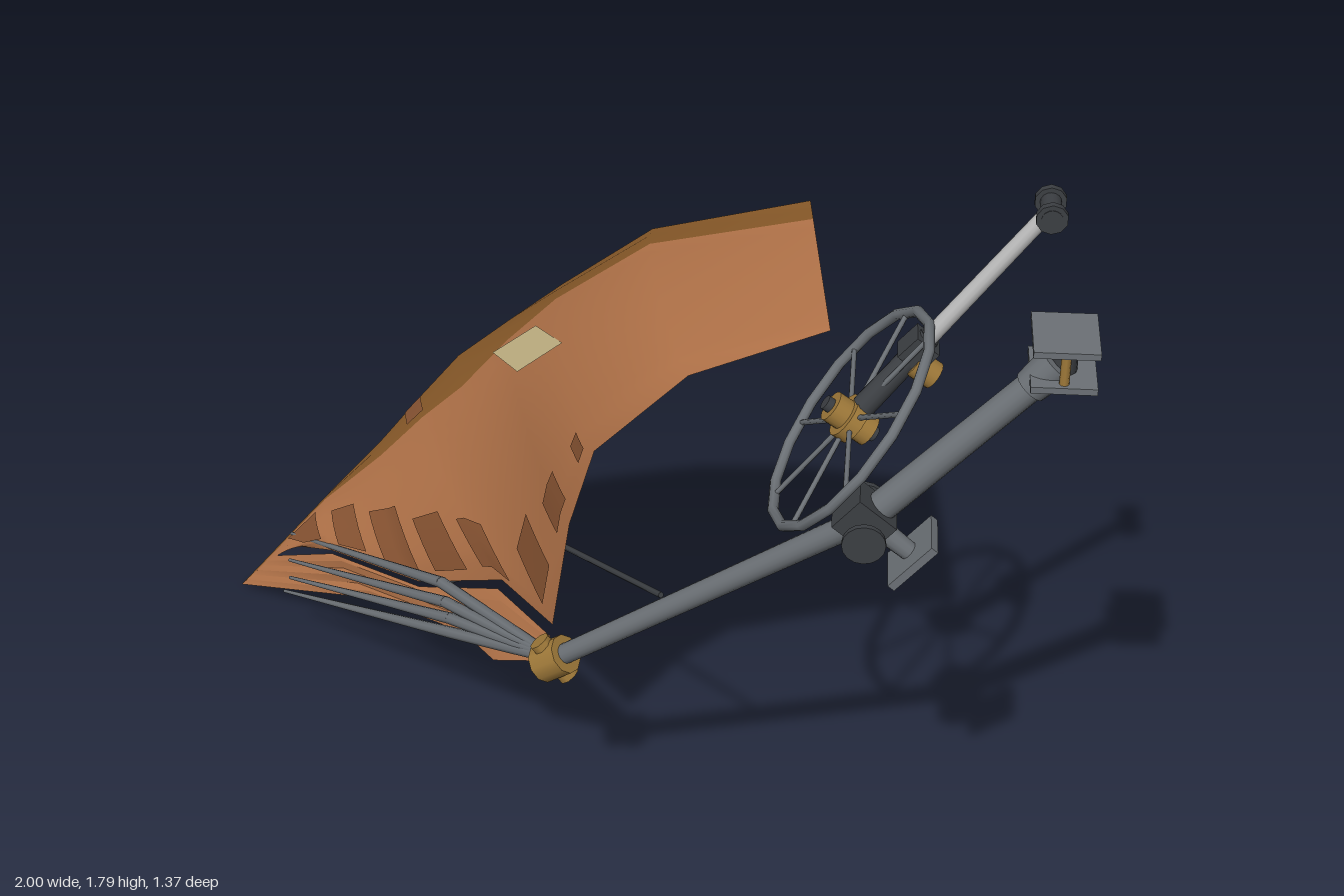
import * as THREE from 'three';

const V = (x, y, z) => new THREE.Vector3(x, y, z);
const mat = (name, color, side = THREE.FrontSide) => {
  const m = new THREE.MeshStandardMaterial({ color, side });
  m.name = name;
  return m;
};

export function createModel() {
  const group = new THREE.Group();
  const copper = mat('copper skin', 0xb5754a, THREE.DoubleSide);
  const bronze = mat('bronze edge', 0x8c5c2a, THREE.DoubleSide);
  const umber = mat('umber patch', 0x8a5533, THREE.DoubleSide);
  const tan = mat('tan panel', 0xc8b888, THREE.DoubleSide);
  const steel = mat('steel', 0x6c7176);
  const dark = mat('dark iron', 0x3c3f43);
  const silver = mat('silver', 0xb4b4b4);
  const brass = mat('brass', 0xa07a3a);

  const add = (name, geo, material, parent = group) => {
    const m = new THREE.Mesh(geo, material);
    m.name = name;
    parent.add(m);
    return m;
  };
  // Cylinder from a to b
  const rod = (name, a, b, r1, r2, material, sides = 12) => {
    const d = b.clone().sub(a);
    const m = add(name, new THREE.CylinderGeometry(r2, r1, d.length(), sides), material);
    m.position.copy(a).addScaledVector(d, 0.5);
    m.quaternion.setFromUnitVectors(V(0, 1, 0), d.normalize());
    return m;
  };
  // Short cylinder centred on c along axis
  const disc = (name, c, axis, r, len, material, sides = 16) =>
    rod(name, c.clone().addScaledVector(axis, -len / 2), c.clone().addScaledVector(axis, len / 2), r, r, material, sides);
  const box = (name, c, size, material, tilt = 0) => {
    const m = add(name, new THREE.BoxGeometry(...size), material);
    m.position.copy(c);
    m.rotation.z = tilt;
    return m;
  };
  // Sheet sampled from a function of (u, s)
  const sheet = (name, f, u0, u1, nu, s0, s1, ns, material) => {
    const pos = [], idx = [];
    for (let i = 0; i <= nu; i++) for (let j = 0; j <= ns; j++) {
      pos.push(...f(u0 + (u1 - u0) * i / nu, s0 + (s1 - s0) * j / ns).toArray());
      if (i < nu && j < ns) {
        const a = i * (ns + 1) + j, b = a + ns + 1;
        idx.push(a, a + 1, b, b, a + 1, b + 1);
      }
    }
    const g = new THREE.BufferGeometry();
    g.setAttribute('position', new THREE.Float32BufferAttribute(pos, 3));
    g.setIndex(idx);
    g.computeVertexNormals();
    return add(name, g, material);
  };
  const along = (pts, u) => {
    const i = Math.min(Math.floor(u), pts.length - 2);
    return pts[i].clone().lerp(pts[i + 1], u - i);
  };

  // Wing skin: outer and inner edges, arched between
  const outer = [V(.43, 1.605, .015), V(.085, 1.39, -.21), V(-.13, 1.13, -.39), V(-.26, .985, -.46),
    V(-.395, .835, -.525), V(-.5, .68, -.57), V(-.6, .53, -.605), V(-.75, .33, -.645), V(-1, 0, -.685)];
  const inner = [V(.48, 1.62, .55), V(.2, 1.475, .51), V(0, 1.19, .375), V(-.06, .945, .3),
    V(-.105, .62, .235), V(-.24, .585, .03), V(-.47, .375, -.23), V(-.72, .28, -.47), V(-.85, .19, -.62)];
  const arch = [0, .035, .055, .055, .05, .045, .035, .02, 0];
  const out = V(-.77, .63, .1).normalize();
  const skin = (u, s, lift = 0) => {
    const i = Math.min(Math.floor(u), 7);
    const h = THREE.MathUtils.lerp(arch[i], arch[i + 1], u - i);
    const bulge = Math.pow(Math.max(0, Math.sin(Math.PI * s)), 0.6);
    return along(outer, u).lerp(along(inner, u), s).addScaledVector(out, h * bulge + lift);
  };
  sheet('wingEdge', skin, 0, 8, 8, 0, .15, 2, bronze);
  sheet('wingSkin', skin, 0, 8, 8, .15, 1, 12, copper);

  // Patches on both faces of the skin
  const patches = [[3.55, 3.95, .78, .96], [2.8, 3.2, .86, .97], [2.1, 2.3, .9, .97], [4.6, 5.1, .72, .95],
    [5.3, 5.7, .66, .96], [5.9, 6.3, .55, .95], [6.5, 6.85, .45, .9], [7.1, 7.5, .3, .85], [4.9, 5.3, .04, .13]];
  for (const [u0, u1, s0, s1] of patches)
    for (const lift of [-.006, .006])
      sheet('patch', (u, s) => skin(u, s, lift), u0, u1, 4, s0, s1, 4, umber);

  // Loose tan panel piercing the skin
  const pa = [V(-.28, 1.03, -.24), V(-.2, 1.13, -.01)], pb = [V(-.18, 1.11, -.235), V(-.1, 1.21, -.01)];
  sheet('loosePanel', (u, s) => along(pa, u).lerp(along(pb, u), s), 0, 1, 1, 0, 1, 1, tan);

  // Pleated lower fan
  const foldTop = [V(-.11, .6, .25), V(-.25, .56, .03), V(-.47, .36, -.23), V(-.72, .27, -.47), V(-.9, .13, -.64)];
  const foldLow = [V(-.1, .56, .29), V(-.25, .445, .15), V(-.34, .39, -.02), V(-.6, .235, -.34), V(-1, 0, -.685)];
  const pleat = [0, .025, -.02, .025, -.02, .025, 0];
  const fanDir = V(.5, .5, .7).normalize();
  const fan = (u, s) => along(foldTop, u).lerp(along(foldLow, u), s)
    .addScaledVector(fanDir, pleat[Math.round(s * 6)] * Math.sin(Math.PI * u / 4));
  for (let k = 0; k < 6; k++) sheet('fanPleat', fan, 0, 4, 8, k / 6, (k + 1) / 6, 1, copper);

  // Finger rods from the wrist
  const wrist = V(-.096, .576, .3);
  const tips = [V(-.84, .17, -.44), V(-.83, .19, -.47), V(-.84, .2, -.53), V(-.85, .21, -.63)];
  tips.forEach((tip, k) => {
    const mid = wrist.clone().lerp(tip, .35).add(V(-.012 * k, .012 * k, -.02 * k));
    rod('fingerBase', wrist, mid, .013, .014, steel, 8);
    rod('fingerEnd', mid, tip, .014, .004, steel, 8);
  });
  disc('wristJoint', wrist, V(.72, .62, .3).normalize(), .045, .075, brass, 10);
  disc('wristPin', wrist, V(-.6, .75, -.1).normalize(), .025, .11, brass, 8);

  // Arm
  const elbow = V(.57, 1.2, .59), shoulder = V(.92, 1.59, .6);
  rod('forearm', wrist, elbow, .023, .027, steel, 16);
  rod('upperArm', elbow, shoulder, .033, .03, steel, 16);
  rod('shoulderCollar', V(.875, 1.54, .6), V(.925, 1.6, .6), .036, .042, steel, 16);
  for (const y of [1.575, 1.655]) box('shoulderPlate', V(.935, y, .592), [.13, .014, .15], steel);
  for (const z of [.54, .65]) rod('shoulderBolt', V(.935, 1.575, z), V(.935, 1.655, z), .01, .01, brass, 8);
  rod('shoulderPost', V(.935, 1.575, .595), V(.935, 1.655, .595), .028, .028, dark);

  // Elbow bracket
  box('elbowBlock', V(.565, 1.21, .6), [.1, .085, .08], dark, -.7);
  disc('elbowAxle', V(.565, 1.2, .605), V(0, 0, 1), .018, .16, dark);
  for (const z of [.53, .68]) disc('elbowFlange', V(.565, 1.2, z), V(0, 0, 1), .045, .012, dark);
  disc('elbowBushing', V(.55, 1.22, .555), V(0, 0, 1), .032, .04, brass);
  rod('bracketStem', elbow, V(.665, 1.125, .6), .025, .02, steel);
  box('bracketPlate', V(.667, 1.127, .602), [.018, .13, .115], steel, -.7);

  // Spoked wheel
  const hub = V(.53, 1.305, .385), axis = V(.81, -.585, 0).normalize();
  const wheel = new THREE.Group();
  wheel.name = 'wheel';
  wheel.position.copy(hub);
  wheel.quaternion.setFromUnitVectors(V(0, 0, 1), axis);
  group.add(wheel);
  add('rim', new THREE.TorusGeometry(.262, .012, 8, 16), steel, wheel);
  for (let k = 0; k < 4; k++) {
    const s = add('spokes', new THREE.CylinderGeometry(.006, .006, .52, 6), steel, wheel);
    s.rotation.z = k * Math.PI / 4 + .2;
  }
  disc('hub', hub, axis, .05, .03, brass);
  disc('hubCore', hub, axis, .034, .1, brass);
  disc('hubPin', hub, axis, .016, .13, dark);

  // Piston
  const top = V(.912, 1.755, .277), foot = V(.555, 1.335, .385);
  const at = t => foot.clone().lerp(top, t);
  rod('pistonBarrel', foot, at(.36), .026, .024, dark);
  rod('pistonRod', at(.3), top, .019, .017, silver);
  box('pistonClamp', at(.3), [.06, .06, .06], dark, -.7);
  disc('pistonCollar', V(.675, 1.418, .36), axis, .03, .055, brass);
  rod('clampPin', at(.3), V(.675, 1.418, .36), .016, .016, dark);
  disc('topSpool', top, V(0, 0, 1), .022, .09, dark);
  for (const z of [-.036, .036]) disc('spoolFlange', top.clone().add(V(0, 0, z)), V(0, 0, 1), .033, .015, dark, 10);

  // Tension cable
  const cable = [V(.145, .84, .4), V(-.09, .7, .05), V(-.4, .4, -.2), V(-.72, .275, -.49)];
  for (let i = 0; i < 3; i++) rod('cable', cable[i], cable[i + 1], .007, .007, dark, 6);
  return group;
}
